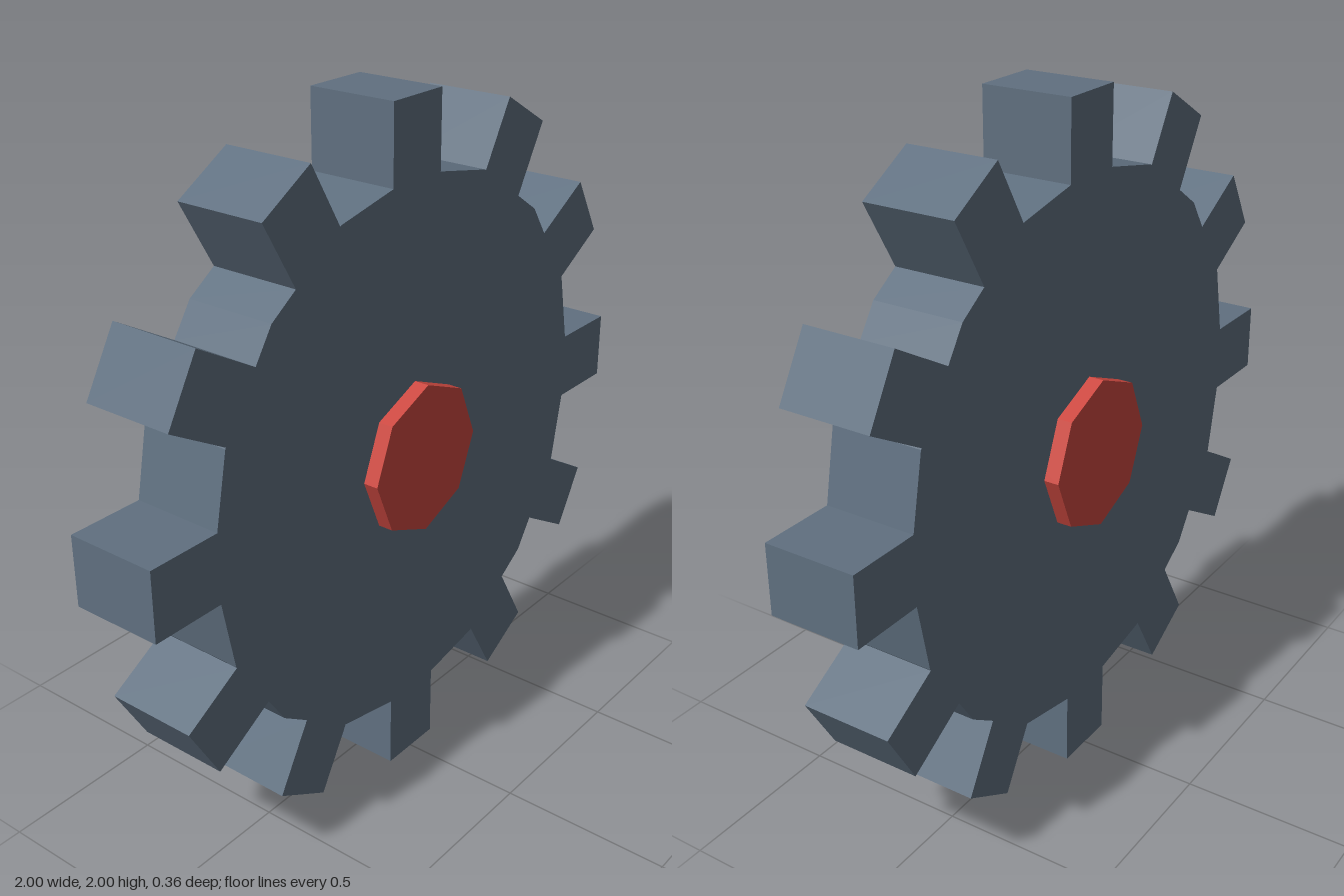
import * as THREE from 'three';

const TEETH = 12, SIDES = 16;
const RIM = 0.8, TIP = 1, HALF_TOOTH = 0.1;
const THICKNESS = 0.267, HUB_RADIUS = 0.222, HUB_LENGTH = 0.356;

const polar = (r, a) => new THREE.Vector2(r * Math.cos(a), r * Math.sin(a));

// Distance along a tooth's axis at which its flank leaves the 16-sided disc
function flankStart(dir, offset) {
  const apothem = RIM * Math.cos(Math.PI / SIDES);
  let start = Infinity;
  for (let k = 0; k < SIDES; k++) {
    const n = polar(1, ((k + 0.5) * 2 * Math.PI) / SIDES);
    const along = dir.dot(n);
    if (along > 0.01) start = Math.min(start, (apothem - offset.dot(n)) / along);
  }
  return start;
}

// Outline of disc and teeth: every corner, ordered by angle
function gearOutline() {
  const points = [];
  for (let i = 0; i < TEETH; i++) {
    const a = (i * 2 * Math.PI) / TEETH;
    const dir = polar(1, a);
    for (const side of [-1, 1]) {
      const offset = polar(side * HALF_TOOTH, a + Math.PI / 2);
      for (const d of [flankStart(dir, offset), TIP]) {
        points.push(dir.clone().multiplyScalar(d).add(offset));
      }
    }
  }
  // Disc corners, except the four hidden under teeth
  for (let k = 0; k < SIDES; k++) {
    if (k % 4 !== 0) points.push(polar(RIM, (k * 2 * Math.PI) / SIDES));
  }
  return points.sort((p, q) => p.angle() - q.angle());
}

export function createModel() {
  const group = new THREE.Group();
  group.name = 'gear';

  // Toothed wheel
  const wheelGeometry = new THREE.ExtrudeGeometry(new THREE.Shape(gearOutline()), {
    depth: THICKNESS, bevelEnabled: false,
  });
  wheelGeometry.translate(0, 0, -THICKNESS / 2);
  const wheel = new THREE.Mesh(wheelGeometry,
    new THREE.MeshStandardMaterial({ color: 0x607080, flatShading: true }));
  wheel.name = 'toothedWheel';

  // Octagonal hub showing on both faces
  const hub = new THREE.Mesh(
    new THREE.CylinderGeometry(HUB_RADIUS, HUB_RADIUS, HUB_LENGTH, 8),
    new THREE.MeshStandardMaterial({ color: 0xcc4840, flatShading: true }));
  hub.name = 'hub';
  hub.rotation.x = Math.PI / 2;

  group.add(wheel, hub);
  for (const part of group.children) part.position.y = 1;
  return group;
}
